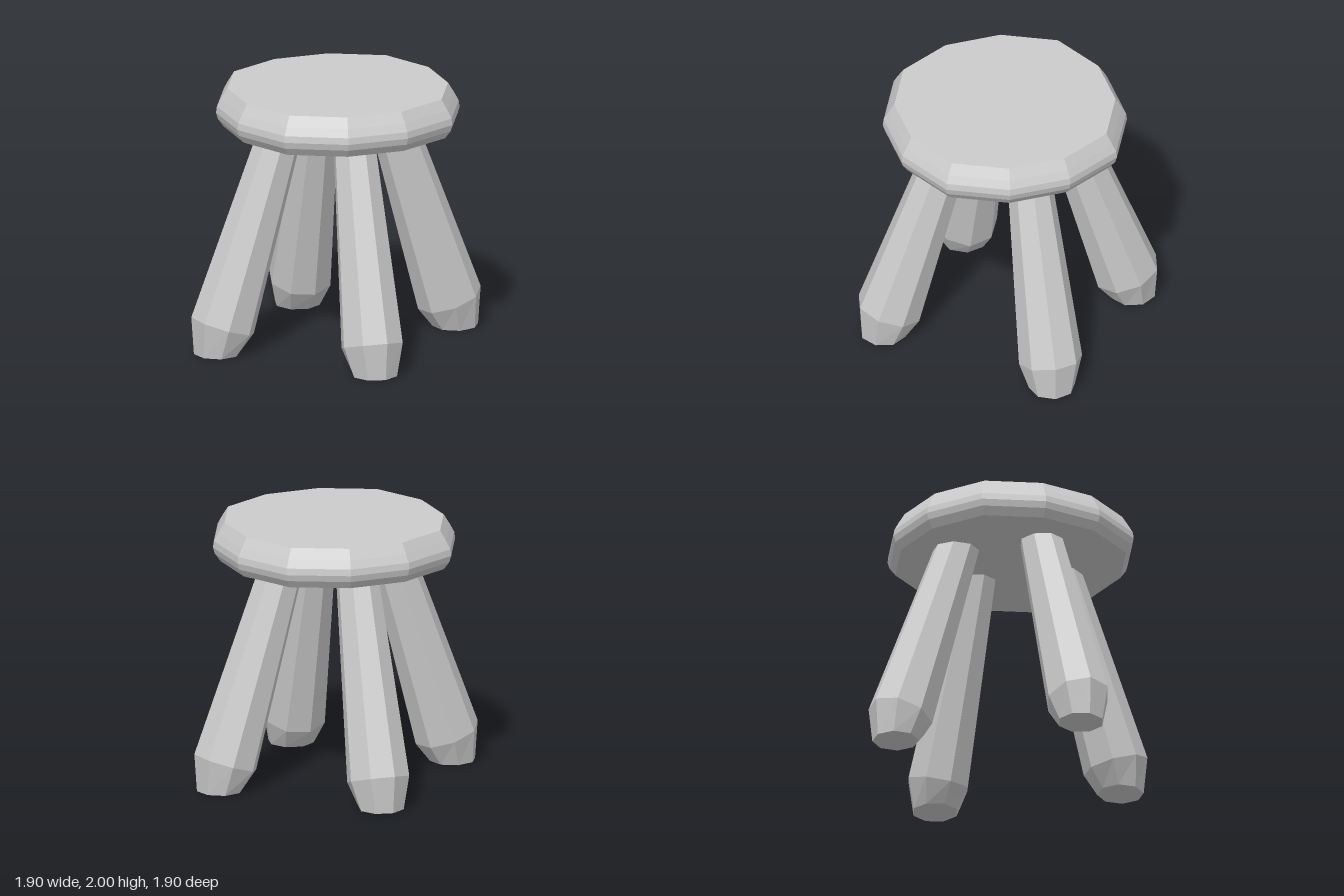
import * as THREE from 'three';

const material = new THREE.MeshStandardMaterial({ color: 0xcccccc, flatShading: true });

// Joins rings of points, listed from bottom to top, into a closed faceted solid.
function loft(name, rings) {
  const points = [];
  const add = (...corners) => corners.forEach((p) => points.push(p.x, p.y, p.z));
  const count = rings[0].length;
  const middle = (ring) => ring.reduce((sum, p) => sum.add(p), new THREE.Vector3()).divideScalar(count);
  const bottom = rings[0];
  const top = rings[rings.length - 1];
  const bottomMiddle = middle(bottom);
  const topMiddle = middle(top);
  for (let j = 0; j < count; j++) {
    const k = (j + 1) % count;
    for (let i = 0; i < rings.length - 1; i++) {
      const low = rings[i];
      const high = rings[i + 1];
      add(low[j], high[j], low[k], low[k], high[j], high[k]);
    }
    add(bottomMiddle, bottom[j], bottom[k]);
    add(topMiddle, top[k], top[j]);
  }
  const geometry = new THREE.BufferGeometry();
  geometry.setAttribute('position', new THREE.Float32BufferAttribute(points, 3));
  geometry.computeVertexNormals();
  const mesh = new THREE.Mesh(geometry, material);
  mesh.name = name;
  return mesh;
}

// Twelve-sided seat with a rounded rim; the corners on the axes stand out a little.
function createSeat() {
  const profile = [[0.89, 1.7], [0.935, 1.76], [0.95, 1.81], [0.943, 1.86], [0.91, 1.92], [0.86, 2]];
  const rings = profile.map(([radius, y]) =>
    Array.from({ length: 12 }, (_, j) => {
      const angle = (j * Math.PI) / 6;
      const r = radius * (j % 3 === 0 ? 1 : 0.967);
      return new THREE.Vector3(r * Math.cos(angle), y, r * Math.sin(angle));
    }));
  return loft('seat', rings);
}

// Splayed eight-sided leg: flat narrow foot, wide ankle, slimmer top set into the seat.
function createLeg(name, sx, sz) {
  // x, y, z of the centre, radius, tilt of the ring
  const sections = [
    [0.655, 0.005, 0.715, 0.175, 0.03],
    [0.62, 0.22, 0.685, 0.24, 1],
    [0.286, 1.77, 0.31, 0.157, 1],
  ];
  const start = THREE.MathUtils.degToRad(-8.5) * sx * sz;
  const rings = sections.map(([x, y, z, radius, tilt]) =>
    Array.from({ length: 8 }, (_, j) => {
      const angle = start + (j * Math.PI) / 4;
      const dx = radius * Math.cos(angle);
      const dz = radius * Math.sin(angle);
      const rise = tilt * (0.215 * sx * dx + 0.242 * sz * dz);
      return new THREE.Vector3(sx * x - 0.022 + dx, y + rise, sz * z - 0.015 + dz);
    }));
  return loft(name, rings);
}

export function createModel() {
  const stool = new THREE.Group();
  stool.name = 'stool';
  stool.add(
    createSeat(),
    createLeg('frontLeftLeg', 1, 1),
    createLeg('frontRightLeg', -1, 1),
    createLeg('backLeftLeg', 1, -1),
    createLeg('backRightLeg', -1, -1),
  );
  return stool;
}
